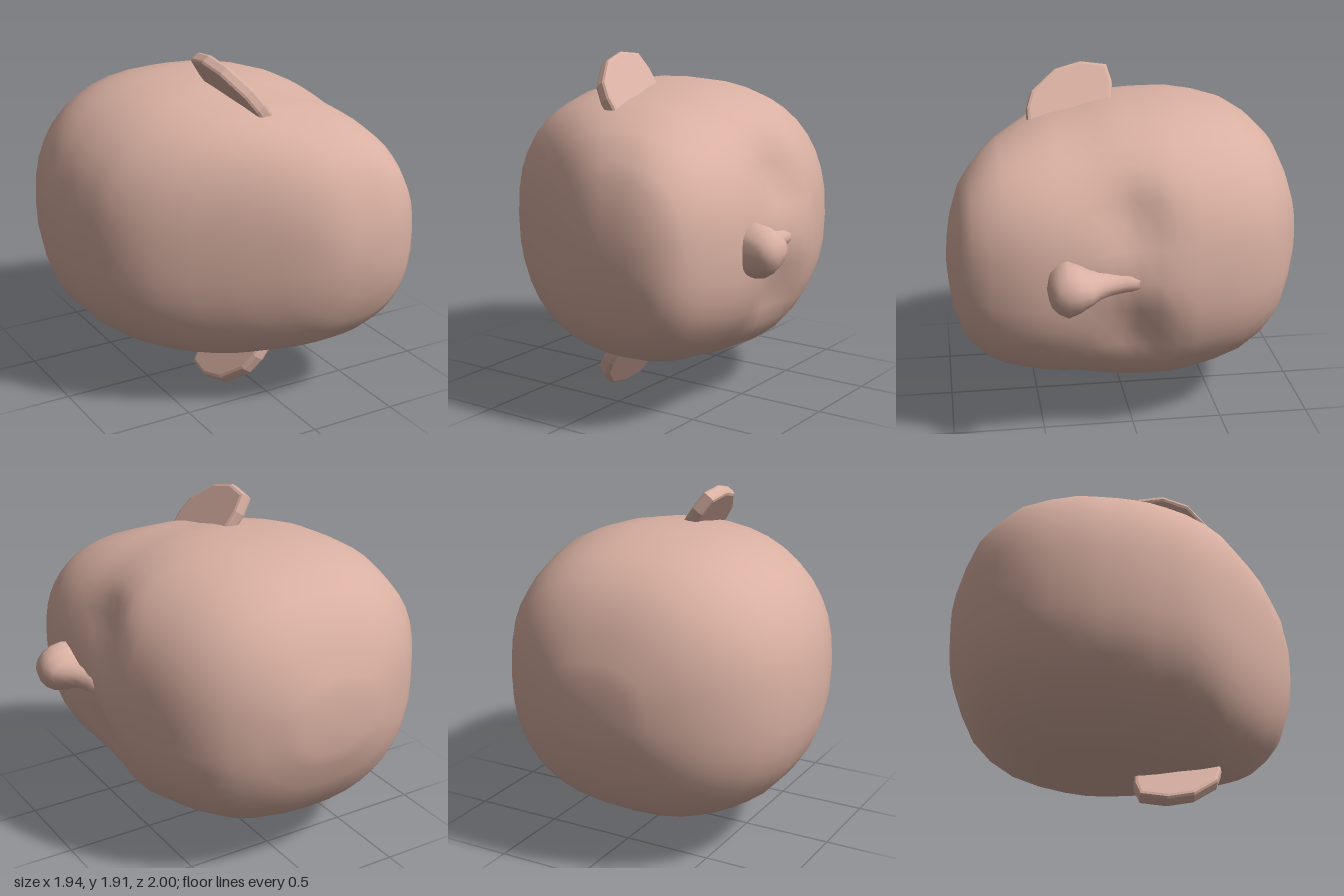
import * as THREE from 'three';

const CY = 0.955; // height of the symmetry plane

// Closed loft of super-elliptic rings along z; each row is [z, xMin, xMax, halfHeight]
function loft(rows, sides, power, shift = () => 0) {
  const pos = [], index = [], n = rows.length;
  const point = (x, y, z) => pos.push(x + shift(x, y, z), CY + y, z);
  const bend = (v) => Math.sign(v) * Math.abs(v) ** (2 / power);
  for (const [z, x0, x1, h] of rows) {
    for (let i = 0; i < sides; i++) {
      const a = (i / sides) * Math.PI * 2;
      point((x0 + x1) / 2 + bend(Math.cos(a)) * (x1 - x0) / 2, bend(Math.sin(a)) * h, z);
    }
  }
  for (let r = 0; r < n - 1; r++) {
    for (let i = 0; i < sides; i++) {
      const j = (i + 1) % sides, a = r * sides, b = a + sides;
      index.push(a + i, a + j, b + j, a + i, b + j, b + i);
    }
  }
  // End caps, slightly domed
  const first = rows[0], last = rows[n - 1];
  point((first[1] + first[2]) / 2, 0, first[0] - 0.01);
  point((last[1] + last[2]) / 2, 0, last[0] + 0.01);
  for (let i = 0; i < sides; i++) {
    const j = (i + 1) % sides, b = (n - 1) * sides;
    index.push(n * sides, j, i, n * sides + 1, b + i, b + j);
  }
  const geo = new THREE.BufferGeometry();
  geo.setAttribute('position', new THREE.Float32BufferAttribute(pos, 3));
  geo.setIndex(index);
  geo.computeVertexNormals();
  return geo;
}

// Thin leaning ear plate; side is +1 for the upper ear, -1 for the lower
function earGeometry(side) {
  const s = new THREE.Shape();
  s.moveTo(0.5, 0.0);
  [[0.5, 0.12], [0.47, 0.21], [0.34, 0.33], [0.2, 0.37], [0.07, 0.35], [0.05, 0.26], [0.07, 0.0]]
    .forEach(([z, v]) => s.lineTo(z, v));
  const geo = new THREE.ExtrudeGeometry(s, {
    depth: 0.04, bevelEnabled: true, bevelThickness: 0.018, bevelSize: 0.02, bevelSegments: 2,
  });
  geo.translate(0, 0, -0.02);
  const along = new THREE.Vector3(0, 0, 1);
  const out = new THREE.Vector3(-0.58, 0.815 * side, 0).normalize();
  const through = new THREE.Vector3().crossVectors(along, out);
  const m = new THREE.Matrix4().makeBasis(along, out, through);
  m.setPosition(0.01, CY + 0.625 * side, 0);
  return geo.applyMatrix4(m);
}

export function createModel() {
  const group = new THREE.Group();
  const skin = new THREE.MeshStandardMaterial({ color: 0xd9b0a2 });
  skin.name = 'skin';
  const add = (name, geo) => {
    const mesh = new THREE.Mesh(geo, skin);
    mesh.name = name;
    group.add(mesh);
  };

  // Shallow eye sockets on the face side
  const sockets = (x, y, z) => x < 0.2 ? 0
    : -0.09 * Math.exp(-(((z - 0.02) / 0.19) ** 2) - ((Math.abs(y) - 0.3) / 0.19) ** 2);

  // Head from crown (-z) to chin (+z)
  add('head', loft([
    [-0.99, -0.3, 0.12, 0.17], [-0.97, -0.4, 0.2, 0.25], [-0.92, -0.53, 0.33, 0.39],
    [-0.85, -0.67, 0.47, 0.53], [-0.75, -0.78, 0.58, 0.63], [-0.62, -0.89, 0.67, 0.71],
    [-0.47, -0.935, 0.73, 0.755], [-0.32, -0.97, 0.78, 0.78], [-0.2, -0.97, 0.82, 0.785],
    [-0.1, -0.965, 0.825, 0.785], [0, -0.955, 0.82, 0.78], [0.08, -0.935, 0.81, 0.775],
    [0.17, -0.91, 0.805, 0.76], [0.28, -0.875, 0.8, 0.735], [0.4, -0.79, 0.8, 0.715],
    [0.5, -0.69, 0.8, 0.69], [0.6, -0.55, 0.79, 0.65], [0.7, -0.4, 0.765, 0.61],
    [0.78, -0.28, 0.735, 0.56], [0.86, -0.14, 0.7, 0.48], [0.92, -0.04, 0.64, 0.4],
    [0.97, 0.08, 0.55, 0.25], [0.99, 0.17, 0.42, 0.12],
  ], 40, 2.4, sockets));

  // Nose with a narrow bridge and a rounded tip
  add('nose', loft([
    [-0.06, 0.7, 0.8, 0.05], [0.08, 0.66, 0.82, 0.06], [0.16, 0.66, 0.845, 0.065],
    [0.22, 0.66, 0.88, 0.075], [0.27, 0.66, 0.94, 0.09], [0.33, 0.66, 0.965, 0.125],
    [0.39, 0.66, 0.97, 0.15], [0.44, 0.66, 0.96, 0.125], [0.475, 0.68, 0.93, 0.09],
    [0.485, 0.7, 0.89, 0.06],
  ], 16, 2));

  add('leftEar', earGeometry(1));
  add('rightEar', earGeometry(-1));
  return group;
}
